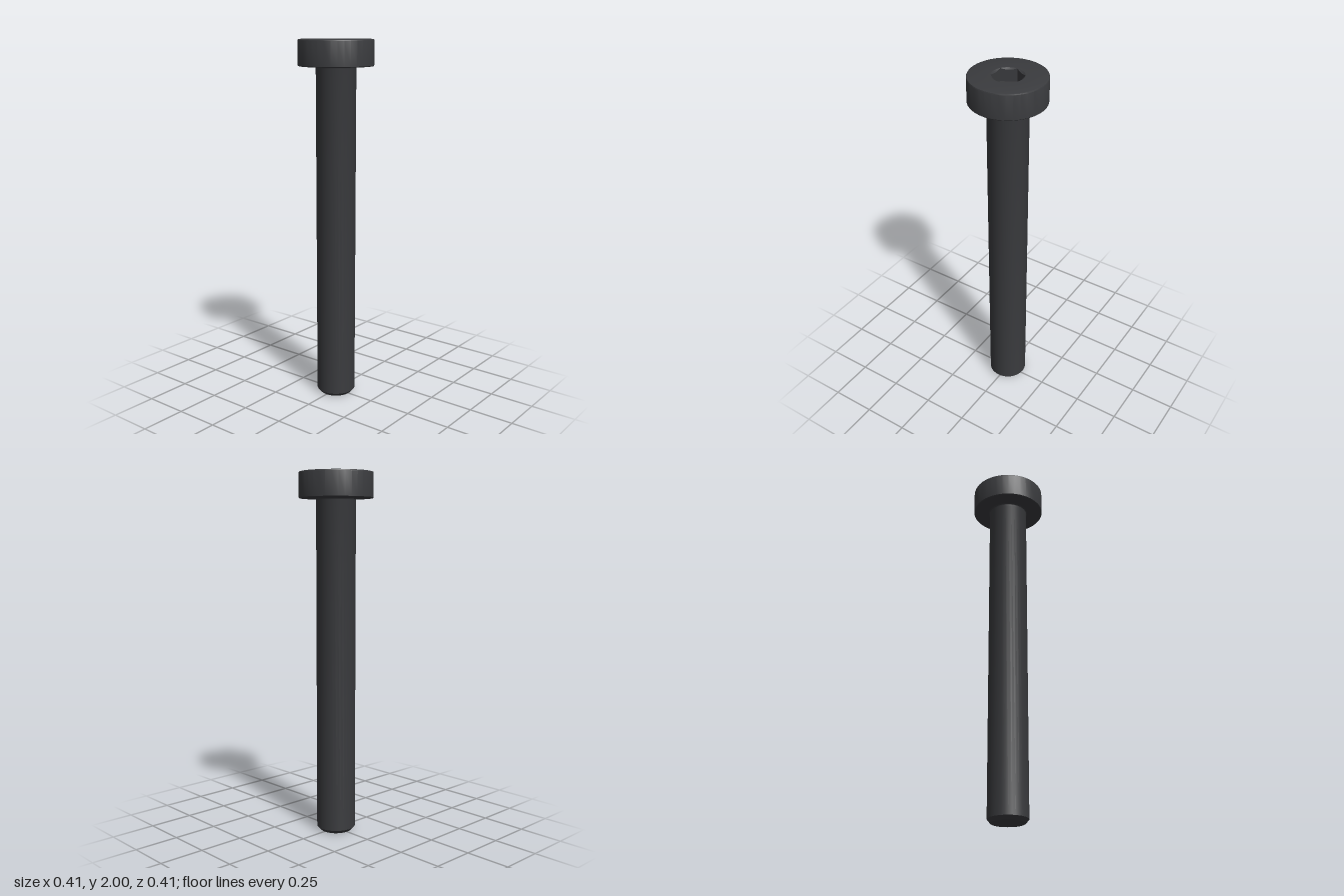
import * as THREE from 'three';
import { toCreasedNormals } from 'three/addons/utils/BufferGeometryUtils.js';

const SEGMENTS = 36;
const HEX_CORNER = 0.085; // socket radius to a corner
const HEX_FLAT = HEX_CORNER * Math.cos(Math.PI / 6);

const material = new THREE.MeshStandardMaterial({ color: 0x3a3b3e });

// Turned profile, listed from the bottom up along its outside
function turned(points) {
  return new THREE.LatheGeometry(points.map(([r, y]) => new THREE.Vector2(r, y)), SEGMENTS);
}

// Distance from the axis to the hexagon at an angle (corners lie on the x axis)
function hexRadius(angle) {
  const sector = Math.PI / 3;
  const a = ((angle % sector) + sector) % sector;
  return HEX_FLAT / Math.cos(a - sector / 2);
}

// Hexagonal recess whose mouth is countersunk by a shallow cone
function socketGeometry(top, floor) {
  const geometry = turned([[HEX_CORNER, top], [1, top], [1, floor], [0, floor]]);
  const p = geometry.attributes.position;
  for (let i = 0; i < p.count; i++) {
    const row = i % 4;
    if (row !== 1 && row !== 2) continue;
    const angle = Math.atan2(p.getZ(i), p.getX(i));
    const r = hexRadius(angle);
    const y = row === 1 ? top - (HEX_CORNER - r) * 0.7 : floor;
    p.setXYZ(i, r * Math.cos(angle), y, r * Math.sin(angle));
  }
  return geometry;
}

export function createModel() {
  const model = new THREE.Group();
  model.name = 'socketHeadScrew';

  const add = (name, geometry) => {
    const mesh = new THREE.Mesh(toCreasedNormals(geometry, 0.4), material);
    mesh.name = name;
    model.add(mesh);
  };

  // Shank with a chamfered tip and a small fillet under the head
  add('shank', turned([
    [0, 0], [0.09, 0], [0.108, 0.02], [0.108, 1.848], [0.11, 1.855], [0.115, 1.86],
  ]));

  // Low cylindrical head with softened edges, open in the middle for the socket
  add('head', turned([
    [0.115, 1.86], [0.199, 1.86], [0.203, 1.864], [0.203, 1.993],
    [0.201, 1.998], [0.196, 2], [HEX_CORNER, 2],
  ]));

  add('hexSocket', socketGeometry(2, 1.93));

  return model;
}
